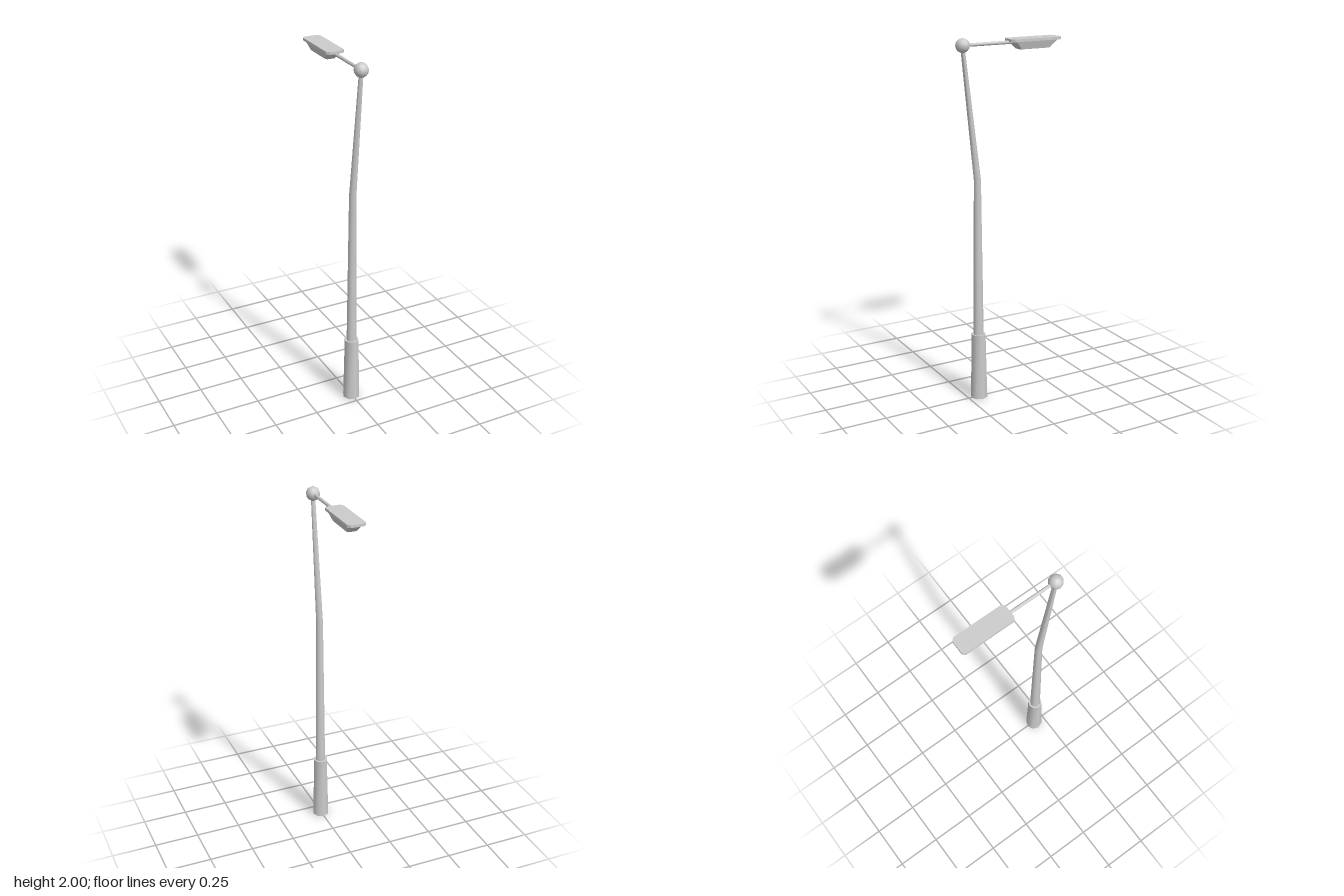
import * as THREE from 'three';
import { toCreasedNormals } from 'three/addons/utils/BufferGeometryUtils.js';

const grey = new THREE.MeshStandardMaterial({ color: 0xcccccc });

// Closed loft through rings of equal point count, capped at both ends
function loft(rings, crease) {
  const n = rings[0].length;
  const positions = [];
  const index = [];
  for (const ring of rings) for (const p of ring) positions.push(p.x, p.y, p.z);
  for (let r = 0; r < rings.length - 1; r++) {
    for (let i = 0; i < n; i++) {
      const a = r * n + i;
      const b = r * n + (i + 1) % n;
      index.push(a, b, b + n, a, b + n, a + n);
    }
  }
  const top = (rings.length - 1) * n;
  for (let i = 1; i < n - 1; i++) {
    index.push(0, i + 1, i);
    index.push(top, top + i, top + i + 1);
  }
  const geo = new THREE.BufferGeometry();
  geo.setAttribute('position', new THREE.Float32BufferAttribute(positions, 3));
  geo.setIndex(index);
  return toCreasedNormals(geo, crease);
}

// Horizontal ring of the pole
function circle(y, z, radius, sides = 8) {
  return Array.from({ length: sides }, (_, i) => {
    const t = (i / sides) * Math.PI * 2;
    return new THREE.Vector3(Math.sin(t) * radius, y, z + Math.cos(t) * radius);
  });
}

// Horizontal rectangle with cut corners
function cutRect(y, z, hx, hz, cut) {
  const corners = [
    [hx - cut, hz], [hx, hz - cut], [hx, cut - hz], [hx - cut, -hz],
    [cut - hx, -hz], [-hx, cut - hz], [-hx, hz - cut], [cut - hx, hz],
  ];
  return corners.map(([px, pz]) => new THREE.Vector3(px, y, z + pz));
}

export function createModel() {
  const group = new THREE.Group();
  const add = (name, geometry) => {
    const mesh = new THREE.Mesh(geometry, grey);
    mesh.name = name;
    group.add(mesh);
    return mesh;
  };
  const poleZ = 0.185, headZ = -0.152, jointY = 1.9625, jointZ = 0.264;

  // Base sleeve and bent, tapering pole
  add('baseSleeve', loft([
    circle(0, poleZ, 0.048),
    circle(0.375, poleZ, 0.04),
  ], 0.9));
  add('pole', loft([
    circle(0.3, poleZ, 0.03),
    circle(1.25, poleZ, 0.02),
    circle(1.95, jointZ, 0.012),
  ], 0.9));

  // Ball joint on top of the pole
  add('ballJoint', new THREE.SphereGeometry(0.038, 10, 8)).position.set(0, jointY, jointZ);

  // Horizontal arm reaching back, ending inside the lamp head
  const arm = add('arm', new THREE.CylinderGeometry(0.009, 0.009, 0.29, 8));
  arm.rotation.x = Math.PI / 2;
  arm.position.set(0, 1.963, 0.115);

  // Lamp head: flat cover plate over a tapered housing
  add('lampCover', loft([
    cutRect(1.967, headZ, 0.05, 0.15, 0.014),
    cutRect(1.981, headZ, 0.05, 0.15, 0.014),
  ], 0.5));
  add('lampHousing', loft([
    cutRect(1.925, headZ, 0.029, 0.092, 0.009),
    cutRect(1.967, headZ, 0.043, 0.134, 0.012),
  ], 0.5));

  return group;
}
